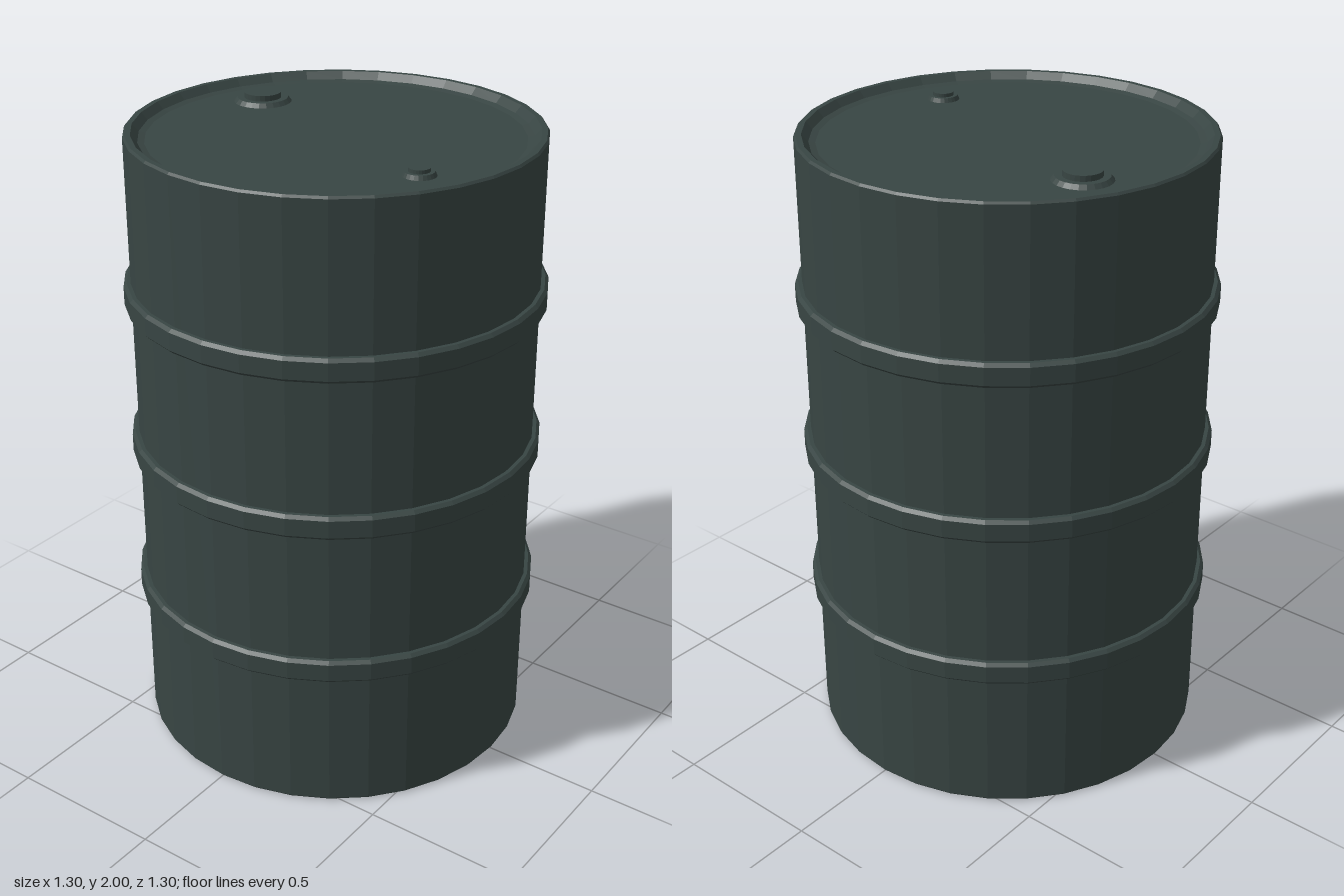
import * as THREE from 'three';

export function createModel() {
  const model = new THREE.Group();
  const paint = new THREE.MeshStandardMaterial({ color: 0x384543, flatShading: true });
  paint.name = 'dark grey green paint';

  // Revolves [radius, height] pairs, listed from bottom to top
  const turn = (name, points, sides, x = 0, y = 0, z = 0) => {
    const profile = points.map(([r, h]) => new THREE.Vector2(r, h));
    const mesh = new THREE.Mesh(new THREE.LatheGeometry(profile, sides), paint);
    mesh.name = name;
    mesh.position.set(x, y, z);
    model.add(mesh);
  };

  // Shell with matching rims and recessed ends
  const rim = [[0.628, 1.99], [0.622, 1.997], [0.605, 1.997], [0.585, 1.975], [0.565, 1.97], [0, 1.97]];
  const base = rim.map(([r, h]) => [r, 1.997 - h]).reverse();
  turn('barrelShell', [...base, ...rim], 32);

  // Three bevelled rolling hoops
  const hoop = [[0.62, -0.038], [0.64, -0.038], [0.65, -0.028], [0.65, 0.028], [0.64, 0.038], [0.62, 0.038]];
  ['lowerHoop', 'middleHoop', 'upperHoop'].forEach((name, i) => turn(name, hoop, 32, 0, 0.5 + i * 0.5, 0));

  // Large and small bungs: bevelled flange with a raised plug
  const bung = (name, x, z, flange, plug, height) => {
    turn(name + 'Flange', [[flange, 0], [flange * 0.88, 0.013], [0, 0.013]], 24, x, 1.97, z);
    turn(name + 'Plug', [[plug, 0], [plug, height], [0, height]], 24, x, 1.97, z);
  };
  bung('largeBung', 0.155, -0.395, 0.09, 0.058, 0.03);
  bung('smallBung', -0.168, 0.403, 0.05, 0.032, 0.024);

  return model;
}
